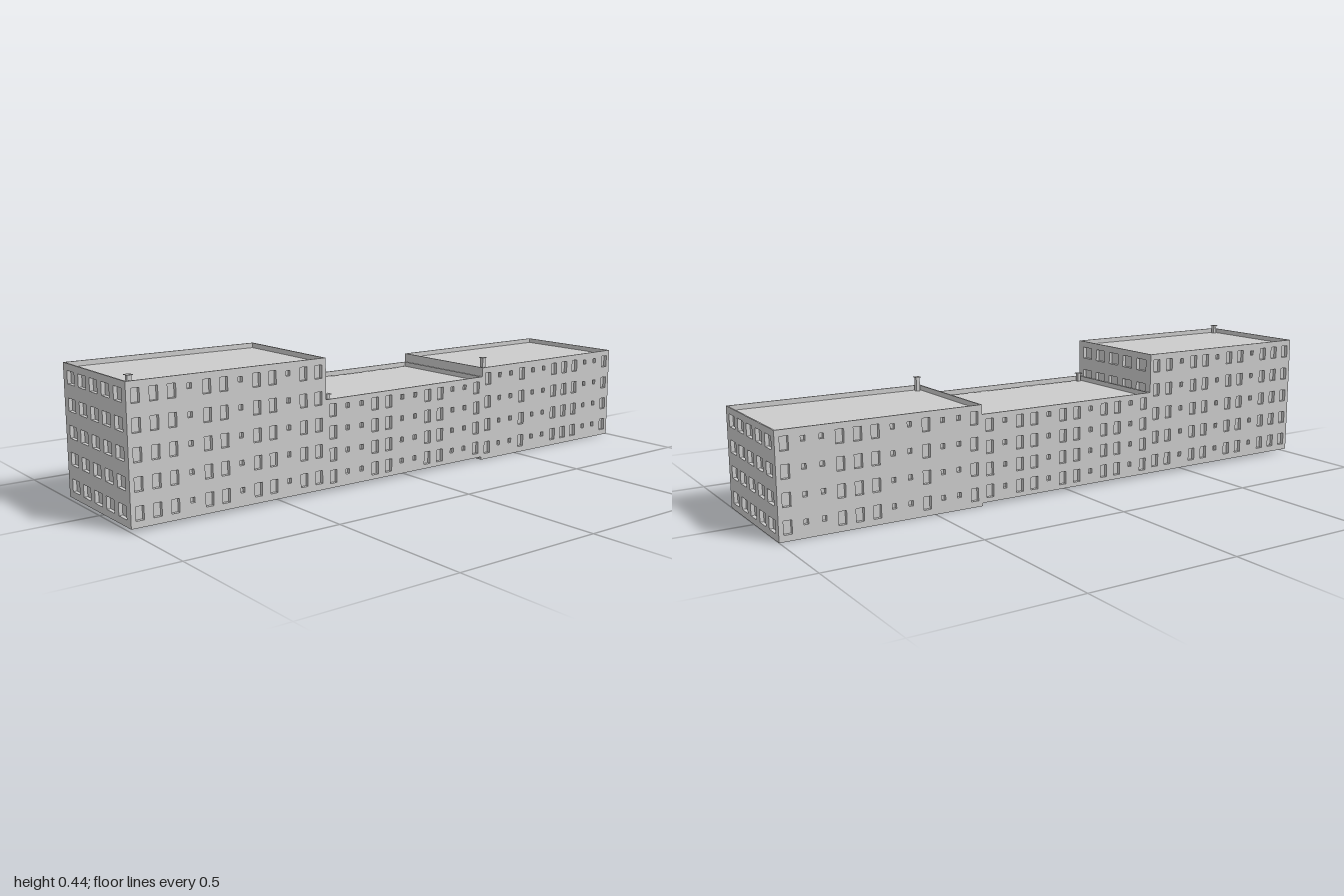
import * as THREE from 'three';

const grey = new THREE.MeshStandardMaterial({ color: 0xcccccc, flatShading: true });
const DEPTH = 0.208;      // half depth of the terrace
const REVEAL = 0.012;     // window recess, also wall thickness
const RIM = 0.005;        // parapet thickness
const RIM_H = 0.016;      // parapet height above the roof

// Window kinds: [width, height, rise above row centre] ; '.' leaves a blank bay
const KINDS = { T: [0.026, 0.042, 0], s: [0.014, 0.016, 0.008], W: [0.05, 0.04, 0] };

function mesh(geometry, name, parent) {
  const m = new THREE.Mesh(geometry, grey);
  m.name = name;
  parent.add(m);
  return m;
}

function rect(Type, x0, y0, x1, y1) {
  const p = new Type();
  p.moveTo(x0, y0);
  p.lineTo(x1, y0);
  p.lineTo(x1, y1);
  p.lineTo(x0, y1);
  p.closePath();
  return p;
}

// Wall panel centred on x, pierced by rows of windows
function wallGeometry(width, height, rows, pattern) {
  const shape = rect(THREE.Shape, -width / 2, 0, width / 2, height);
  const rowH = (height + RIM_H) / rows;
  const bay = width / pattern.length;
  for (let r = 0; r < rows; r++) {
    [...pattern].forEach((kind, i) => {
      if (!KINDS[kind]) return;
      const [w, h, rise] = KINDS[kind];
      const cx = -width / 2 + bay * (i + 0.5);
      const cy = rowH * (r + 0.5) + rise;
      shape.holes.push(rect(THREE.Path, cx - w / 2, cy - h / 2, cx + w / 2, cy + h / 2));
    });
  }
  return new THREE.ExtrudeGeometry(shape, { depth: REVEAL, bevelEnabled: false });
}

function makeBlock({ name, x0, x1, base, top, rows, front, back, left, right, flue }) {
  const block = new THREE.Group();
  block.name = name;
  const w = x1 - x0, cx = (x0 + x1) / 2;
  const wallH = top - base - RIM_H;
  block.position.set(cx, base, 0);

  // Inner body: window backs, roof and underside
  const core = mesh(new THREE.BoxGeometry(w - 2 * REVEAL, wallH, 2 * (DEPTH - REVEAL)), 'roofAndCore', block);
  core.position.y = wallH / 2;

  // Long facades
  mesh(wallGeometry(w, wallH, rows, front), 'frontWall', block).position.z = DEPTH - REVEAL;
  const rear = mesh(wallGeometry(w, wallH, rows, back), 'backWall', block);
  rear.rotation.y = Math.PI;
  rear.position.z = -DEPTH + REVEAL;

  // End walls fit between the facades
  for (const [side, pattern, label] of [[1, left, 'leftWall'], [-1, right, 'rightWall']]) {
    const end = mesh(wallGeometry(2 * (DEPTH - REVEAL), wallH, rows, pattern), label, block);
    end.rotation.y = side * Math.PI / 2;
    end.position.x = side * (w / 2 - REVEAL);
  }

  // Parapet ring round the roof
  const ring = rect(THREE.Shape, -w / 2, -DEPTH, w / 2, DEPTH);
  ring.holes.push(rect(THREE.Path, -w / 2 + RIM, -DEPTH + RIM, w / 2 - RIM, DEPTH - RIM));
  const parapet = mesh(new THREE.ExtrudeGeometry(ring, { depth: RIM_H, bevelEnabled: false }), 'parapet', block);
  parapet.rotation.x = -Math.PI / 2;
  parapet.position.y = wallH;

  // Chimney with thin cap
  const chimney = new THREE.Group();
  chimney.name = 'chimney';
  chimney.position.set(-w / 2 + 0.02, wallH, 0.187);
  const h = flue + RIM_H;
  mesh(new THREE.BoxGeometry(0.013, h, 0.013), 'chimneyStack', chimney).position.y = h / 2;
  mesh(new THREE.BoxGeometry(0.019, 0.002, 0.019), 'chimneyCap', chimney).position.y = h - 0.001;
  block.add(chimney);
  return block;
}

export function createModel() {
  const model = new THREE.Group();
  model.name = 'terraceOfBuildings';
  const blocks = [
    { name: 'tallBlock', x0: -1, x1: -0.334, base: 0.01, top: 0.426, rows: 5,
      front: 'TTTsTTsTTsTT', back: 'TTsTTsTTsTTT', left: 'WWWWW', right: 'WWWWW', flue: 0.015 },
    { name: 'middleBlock', x0: -0.334, x1: 0.333, base: 0.01, top: 0.295, rows: 4,
      front: 'TssTTssTTssT', back: 'TsTTsTTsTTsT', left: '.', right: '.', flue: 0.014 },
    { name: 'endBlock', x0: 0.333, x1: 1, base: 0, top: 0.326, rows: 4,
      front: 'TssTssTTTssT', back: 'TssTTTssTssT', left: 'WWWWW', right: '.', flue: 0.032 },
  ];
  blocks.forEach((b) => model.add(makeBlock(b)));
  return model;
}
